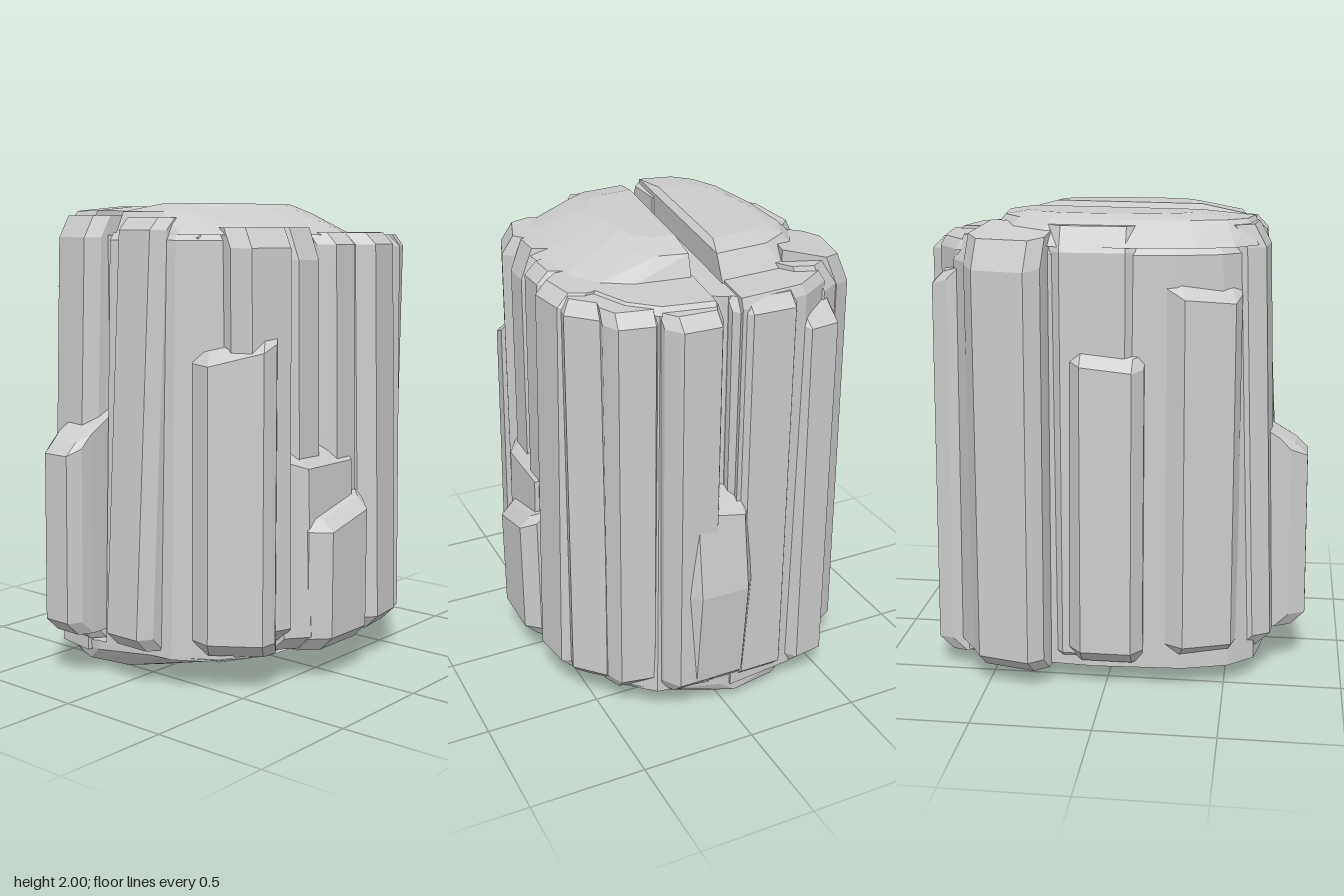
import * as THREE from 'three';
import { ConvexGeometry } from 'three/addons/geometries/ConvexGeometry.js';

const stone = new THREE.MeshStandardMaterial({ color: 0xcccccc, flatShading: true });

function hull(name, points) {
  const mesh = new THREE.Mesh(new ConvexGeometry(points), stone);
  mesh.name = name;
  return mesh;
}

// Boxy half ellipse, facing front (dir 1) or back (dir -1); its straight side follows the slanted groove
function halfRing(dir, cx, cz, rx, rz, y) {
  const boxy = v => Math.sign(v) * Math.abs(v) ** 0.65;
  const points = [];
  for (let i = 0; i <= 8; i++) {
    const a = i * Math.PI / 8;
    const x = rx * boxy(Math.cos(a));
    const out = boxy(Math.sin(a));
    points.push(new THREE.Vector3(cx + x, y, cz + dir * rz * out + 0.15 * x * (1 - out)));
  }
  return points;
}

// Upright slab round the outside. (x, z) is the middle of its outer face, which turns away from the axis.
// lean: top moves inward; drop: outer top edge sits lower; skew: top slants sideways; belly: swells halfway up
function slab(name, x, z, width, y0, y1, { lean = 0.02, drop = 0, skew = 0, belly = 0, chamfer = 0.05 } = {}) {
  const out = new THREE.Vector3(x ** 3, 0, z ** 3).normalize();
  const side = new THREE.Vector3(out.z, 0, -out.x);
  const foot = [[0, -0.3], [0, 0.36], [-0.06, 0.5], [-0.3, 0.45], [-0.3, -0.45], [-0.07, -0.5]];
  const points = [];
  const ring = (y, shift, bevel, slant) => {
    for (const [u, v] of foot) {
      const depth = u > -0.1 ? u - bevel : u;
      const height = y + slant * (skew * v * width - drop * (1 + u / 0.3));
      points.push(new THREE.Vector3(x, height, z)
        .addScaledVector(out, depth + shift)
        .addScaledVector(side, v * width));
    }
  };
  ring(y0, 0, 0.06, 0);
  ring(y0 + 0.06, 0, 0, 0);
  if (belly) ring((y0 + y1) / 2, belly, 0, 0);
  ring(y1 - chamfer, -lean, 0, 1);
  ring(y1, -lean, 0.05, 1);
  return hull(name, points);
}

export function createModel() {
  const rock = new THREE.Group();
  rock.name = 'rockColumn';
  const addSlab = (...args) => rock.add(slab(...args));
  const addMass = (name, dir, ...rings) => rock.add(hull(name, rings.flatMap(r => halfRing(dir, ...r))));

  // Two inner masses with the groove between them, and a filler under the groove
  addMass('frontMass', 1, [0.05, -0.03, 0.7, 0.54, 0.13], [0.07, -0.03, 0.67, 0.52, 1.85], [0.07, -0.03, 0.65, 0.49, 1.88]);
  addMass('backMass', -1, [0.05, -0.13, 0.71, 0.47, 0.09], [0.08, -0.13, 0.68, 0.45, 1.84], [0.08, -0.13, 0.66, 0.42, 1.88]);
  rock.add(hull('grooveFloor', [0.1, 1.87].flatMap(y => [
    ...halfRing(1, 0.06, -0.1, 0.62, 0.2, y), ...halfRing(-1, 0.06, -0.1, 0.62, 0.2, y),
  ])));

  // Raised caps either side of the groove
  addMass('frontCap', 1, [-0.06, -0.04, 0.52, 0.55, 1.87], [-0.06, -0.04, 0.48, 0.3, 1.965], [-0.03, -0.02, 0.32, 0.23, 2]);
  addMass('backCap', -1, [-0.04, -0.14, 0.59, 0.46, 1.87], [-0.05, -0.14, 0.53, 0.36, 1.97], [0, -0.16, 0.36, 0.28, 1.99]);

  // Sloping broken underside
  const base = dir => [
    ...halfRing(dir, 0.05, -0.08, 0.7, dir > 0 ? 0.62 : 0.5, dir > 0 ? 0.14 : 0.1),
    ...halfRing(dir, 0.06, -0.16, 0.68, 0.27, 0.04),
    ...halfRing(dir, 0, -0.18, 0.45, 0.2, 0),
  ];
  rock.add(hull('underside', [...base(1), ...base(-1)]));

  // Front slabs, with cracks left between them
  addSlab('frontCornerSlab', -0.53, 0.47, 0.34, 0.16, 1.53, { lean: 0.03, drop: 0.1, skew: 0.25 });
  addSlab('tallCornerSlab', -0.38, 0.55, 0.28, 0.2, 1.9, { chamfer: 0.08 });
  addSlab('brokenFrontSlab', -0.06, 0.62, 0.46, 0.15, 1.13, { drop: 0.16 });
  addSlab('frontFoot', -0.02, 0.68, 0.37, 0.14, 0.83, { drop: 0.1, skew: 0.25, lean: 0 });
  addSlab('recessedPanel', -0.15, 0.57, 0.2, 0.3, 1.9, { chamfer: 0.13 });
  addSlab('frontMiddleSlab', 0.08, 0.6, 0.2, 0.14, 1.88, { lean: 0.03 });
  addSlab('frontTallSlab', 0.33, 0.64, 0.26, 0.14, 1.88, { lean: 0.04 });
  addSlab('frontEndSlab', 0.54, 0.55, 0.24, 0.14, 1.87);

  // Slabs on the +x side
  addSlab('frontEdgeSlab', 0.69, 0.39, 0.22, 0.14, 1.87, { lean: -0.02 });
  addSlab('sideTallSlab', 0.81, 0.17, 0.24, 0.14, 1.86, { lean: 0 });
  addSlab('bulgingSideSlab', 0.81, 0.07, 0.32, 0.14, 1.14, { lean: 0.01, belly: 0.04, drop: 0.1, skew: -0.2 });
  addSlab('sideBackSlab', 0.78, -0.15, 0.28, 0.1, 1.87, { lean: 0 });
  addSlab('sideNotchSlab', 0.76, -0.41, 0.2, 0.08, 1.84, { drop: 0.09 });

  // Back slabs
  addSlab('backCornerSlab', 0.43, -0.69, 0.34, 0.08, 1.95, { chamfer: 0.12, drop: 0.05 });
  addSlab('backInnerCornerSlab', 0.61, -0.54, 0.26, 0.08, 1.9, { chamfer: 0.1 });
  addSlab('backMiddleSlab', 0.06, -0.61, 0.4, 0.09, 1.95, { chamfer: 0.1, lean: 0.01 });
  addSlab('backLowSlab', 0, -0.67, 0.32, 0.12, 1.5, { drop: 0.06, skew: -0.1 });
  addSlab('backEndSlab', -0.42, -0.59, 0.32, 0.14, 1.87, { drop: 0.16, skew: -0.1 });

  // Slabs on the -x side
  addSlab('backEdgeSlab', -0.7, -0.33, 0.26, 0.14, 1.95, { lean: 0.06, chamfer: 0.09 });
  addSlab('lowSideSlab', -0.84, -0.24, 0.2, 0.2, 1.16, { lean: 0.01, drop: 0.14 });
  addSlab('leaningSideSlab', -0.73, 0.03, 0.26, 0.16, 1.94, { lean: 0.1 });
  addSlab('sideSliver', -0.57, 0.21, 0.2, 0.17, 1.91, { lean: 0.05 });
  return rock;
}
